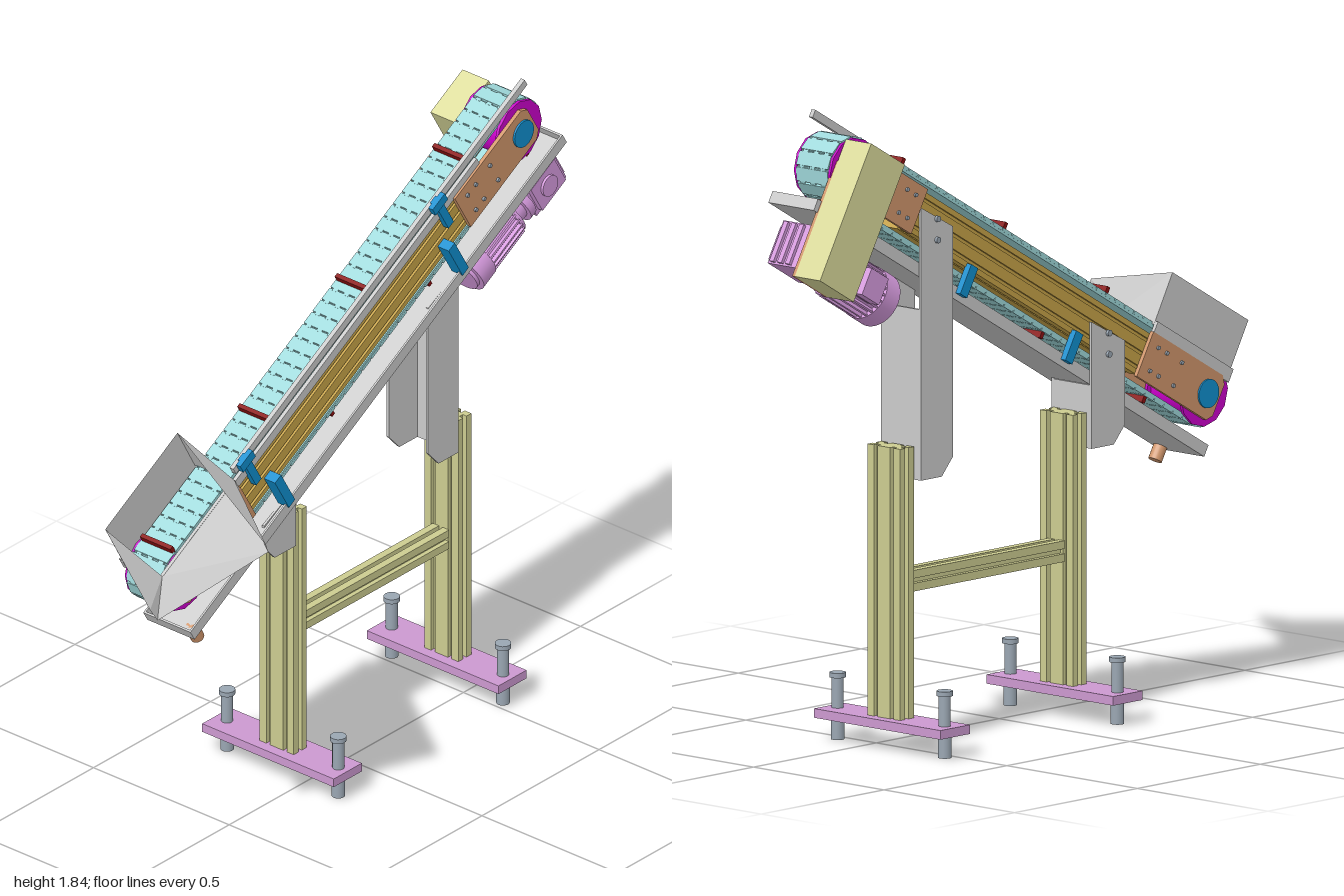
import * as THREE from 'three';

const mats = {};
const mat = (color) => (mats[color] ??= new THREE.MeshStandardMaterial({ color, flatShading: false }));
const GREY = 0xcccccc, TEAL = 0xa0dadc, KHAKI = 0xcccc90, COVER = 0xdcdc9c, GOLD = 0xc8a448, BROWN = 0xd2976c,
  MAGENTA = 0xcc00cc, BLUE = 0x1090d0, PINK = 0xd89ce0, PLATE = 0xcc99d0, STEEL = 0x9aa6b2, RED = 0x8c1010;
const ZC = -0.085; // centre plane of the conveyor

function add(parent, name, geo, color, x = 0, y = 0, z = 0) {
  const m = new THREE.Mesh(geo, mat(color));
  m.name = name;
  m.position.set(x, y, z);
  parent.add(m);
  return m;
}
// box given by its limits on each axis
const box = (p, name, color, [x0, x1], [y0, y1], [z0, z1]) =>
  add(p, name, new THREE.BoxGeometry(x1 - x0, y1 - y0, z1 - z0), color, (x0 + x1) / 2, (y0 + y1) / 2, (z0 + z1) / 2);

// cylinder along the given axis
function cyl(p, name, color, r, len, axis, x, y, z, sides = 32) {
  const g = new THREE.CylinderGeometry(r, r, len, sides);
  if (axis === 'x') g.rotateZ(Math.PI / 2);
  if (axis === 'z') g.rotateX(Math.PI / 2);
  return add(p, name, g, color, x, y, z);
}
const extrude = (shape, depth) => new THREE.ExtrudeGeometry(shape, { depth, bevelEnabled: false, curveSegments: 16 });
const polygon = (pts) => new THREE.Shape(pts.map(([x, y]) => new THREE.Vector2(x, y)));

// slotted aluminium profile, extruded along z; na and nb are slots per side
function slotted(a, b, na, nb, len, slot = 0.014, deep = 0.014) {
  const pts = [];
  const dirs = [[1, 0, a, b, na], [0, 1, b, a, nb], [-1, 0, a, b, na], [0, -1, b, a, nb]];
  for (const [dx, dy, l, w, n] of dirs) {
    const at = (s, d) => pts.push([dx * s + dy * (w / 2 - d), dy * s - dx * (w / 2 - d)]);
    at(-l / 2, 0);
    for (let i = 0; i < n; i++) {
      const c = -l / 2 + (l * (i + 0.5)) / n;
      at(c - slot / 2, 0); at(c - slot / 2, deep); at(c + slot / 2, deep); at(c + slot / 2, 0);
    }
  }
  return extrude(polygon(pts), len);
}

// long loop shape round both rollers
const HALF = 0.824;
function stadium(Type, r) {
  const s = new Type();
  s.moveTo(-HALF, -r);
  s.lineTo(HALF, -r);
  s.absarc(HALF, 0, r, -Math.PI / 2, Math.PI / 2, false);
  s.lineTo(-HALF, r);
  s.absarc(-HALF, 0, r, Math.PI / 2, Math.PI * 1.5, false);
  return s;
}

function buildStand(root) {
  const stand = new THREE.Group();
  stand.name = 'stand';
  root.add(stand);
  for (const x of [-0.173, 0.53]) {
    const leg = slotted(0.056, 0.125, 1, 2, 0.77);
    leg.rotateX(-Math.PI / 2);
    add(stand, 'leg', leg, KHAKI, x, 0.09, -0.083);
    box(stand, 'footPlate', PLATE, [x - 0.06, x + 0.06], [0.064, 0.09], [-0.33, 0.155]);
    for (const z of [0.12, -0.29]) {
      cyl(stand, 'levellingFoot', STEEL, 0.019, 0.06, 'y', x, 0.03, z, 20);
      cyl(stand, 'levellingBolt', STEEL, 0.017, 0.17, 'y', x, 0.1, z, 20);
      cyl(stand, 'boltCap', STEEL, 0.023, 0.014, 'y', x, 0.183, z, 20);
    }
  }
  const beam = slotted(0.06, 0.06, 1, 1, 0.647);
  beam.rotateY(Math.PI / 2);
  add(stand, 'crossBeam', beam, KHAKI, -0.147, 0.47, -0.083);

  // channel brackets joining legs and conveyor: [x0, x1, bottom, front top, back top, web top]
  for (const [x0, x1, y0, yf, yb, yw] of [[-0.335, -0.2, 0.76, 0.88, 1.07, 0.94], [0.365, 0.495, 0.765, 1.28, 1.49, 1.25]]) {
    const flange = (top) => extrude(polygon([[x0, y0 + 0.05], [x0 + 0.045, y0], [x1, y0], [x1, top + 0.07], [x0, top]]), 0.008);
    add(stand, 'bracketFront', flange(yf), GREY, 0, 0, -0.021);
    add(stand, 'bracketBack', flange(yb - 0.02), GREY, 0, 0, -0.166);
    box(stand, 'bracketWeb', GREY, [x1 - 0.008, x1], [y0, yw], [-0.158, -0.014]);
    for (const dy of [0.01, -0.05])
      cyl(stand, 'bracketBolt', STEEL, 0.009, 0.01, 'z', (x0 + x1) / 2, yb + dy, -0.169, 12);
  }
}

function buildBelt(c) {
  const loop = stadium(THREE.Shape, 0.091);
  loop.holes.push(stadium(THREE.Path, 0.08));
  add(c, 'beltCore', extrude(loop, 0.12), TEAL, 0, 0, -0.146);
  // slats placed at equal steps along the loop
  const R = 0.092, straight = 2 * HALF, arc = Math.PI * R, total = 2 * (straight + arc), n = 88;
  const place = (mesh, s, lift) => {
    const back = s >= total / 2, t = back ? s - total / 2 : s, sign = back ? -1 : 1;
    const a = t < straight ? 0 : (t - straight) / R;
    const u = t < straight ? -HALF + t : HALF + Math.sin(a) * (R + lift);
    mesh.position.set(sign * u, sign * Math.cos(a) * (R + lift), ZC - 0.001);
    mesh.rotation.z = -a + (back ? Math.PI : 0);
  };
  const slat = new THREE.BoxGeometry(total / n - 0.004, 0.01, 0.121);
  const knuckle = new THREE.BoxGeometry(0.012, 0.011, 0.018);
  for (let i = 0; i < n; i++) {
    place(add(c, 'beltSlat', slat, TEAL), (i * total) / n, 0);
    for (const dz of [-0.04, 0, 0.04]) {
      const k = add(c, 'hingeKnuckle', knuckle, TEAL);
      place(k, ((i + 0.5) * total) / n, 0);
      k.position.z += dz;
    }
  }
  for (let i = 0; i < 8; i++)
    place(add(c, 'flight', new THREE.BoxGeometry(0.013, 0.024, 0.112), RED), (0.02 + i * 0.48) % total, 0.012);
}

function buildFrame(c) {
  const rail = slotted(0.14, 0.122, 2, 3, 1.075, 0.01, 0.008);
  rail.rotateY(Math.PI / 2);
  add(c, 'frameProfile', rail, GOLD, -0.54, 0, ZC);

  for (const s of [-1, 1]) {
    // rollers, end plates and bearings
    cyl(c, 'roller', MAGENTA, 0.08, 0.12, 'z', s * HALF, 0, ZC);
    for (const [z, zb] of [[-0.02, -0.004], [-0.15, -0.166]]) {
      cyl(c, 'rollerFlange', MAGENTA, 0.096, 0.009, 'z', s * HALF, 0, z, 12);
      const a = s * 0.875, b = s * 0.53, h = 0.068;
      const plate = polygon([[a, -h + 0.02], [a, h - 0.02], [a - s * 0.02, h], [b, h], [b, -h], [a - s * 0.02, -h]]);
      add(c, 'endPlate', extrude(plate, 0.012), BROWN, 0, 0, zb < -0.1 ? -0.168 : -0.015);
      cyl(c, 'bearing', BLUE, 0.041, 0.014, 'z', s * HALF, 0, zb);
      for (const u of [0.57, 0.61, 0.68]) for (const v of [-0.035, 0.035])
        cyl(c, 'plateScrew', STEEL, 0.006, 0.015, 'z', s * u, v, zb, 10);
    }
    // clamps for guide rail and tray
    box(c, 'railClamp', BLUE, [s * 0.474 - 0.013, s * 0.474 + 0.013], [0.02, 0.135], [-0.015, 0.004]);
    box(c, 'railClampHead', BLUE, [s * 0.474 - 0.03, s * 0.474 + 0.03], [0.108, 0.136], [-0.008, 0.008]);
    box(c, 'trayClamp', BLUE, [s * 0.428 - 0.015, s * 0.428 + 0.015], [-0.135, -0.015], [-0.015, 0.025]);
    box(c, 'rearTrayClamp', BLUE, [s * 0.247 - 0.016, s * 0.247 + 0.016], [-0.14, -0.05], [-0.172, -0.152]);
  }
  box(c, 'guideRail', GREY, [-0.517, 0.919], [0.108, 0.131], [-0.024, -0.01]);
  box(c, 'frontSkirt', GREY, [-0.89, 0.66], [0.062, 0.09], [-0.022, -0.01]);

  // drip tray with raised sides
  box(c, 'trayFloor', GREY, [-0.915, 0.92], [-0.157, -0.15], [-0.154, 0.02]);
  for (const z of [-0.154, 0.014]) box(c, 'traySide', GREY, [-0.915, 0.92], [-0.157, -0.122], [z, z + 0.006]);
  for (const u of [-0.915, 0.914]) box(c, 'trayEnd', GREY, [u, u + 0.006], [-0.157, -0.122], [-0.154, 0.02]);
  cyl(c, 'drainPipe', BROWN, 0.02, 0.05, 'y', -0.885, -0.175, -0.01, 20);
}

function buildHopper(c) {
  const A = [-0.89, 0.104, -0.005], B = [-0.535, 0.104, -0.005], C = [-0.89, 0.09, -0.155], D = [-0.535, 0.09, -0.155];
  const lowOut = [-1.063, 0.204, 0.15], highOut = [-0.745, 0.215, 0.325];
  const lowRim = [-1.061, 0.247, 0.14], highRim = [-0.743, 0.247, 0.33];
  const lowBack = [-0.888, 0.247, -0.155], highBack = [-0.532, 0.247, -0.155];
  const quads = [
    [A, B, highOut, lowOut], // sloping floor
    [lowRim, lowOut, A, lowBack], [A, C, lowBack, lowBack], // low wall
    [highRim, highBack, B, highOut], [B, highBack, D, D], // high wall
    [C, D, highBack, lowBack], // back wall
  ];
  const pos = quads.flatMap(([a, b, d, e]) => [a, b, d, a, d, e].flat());
  const g = new THREE.BufferGeometry();
  g.setAttribute('position', new THREE.Float32BufferAttribute(pos, 3));
  g.computeVertexNormals();
  add(c, 'hopper', g, GREY).material = new THREE.MeshStandardMaterial({ color: GREY, side: THREE.DoubleSide });
  box(c, 'hopperSkirt', GREY, [-0.89, -0.535], [0.066, 0.106], [-0.012, -0.002]);
  box(c, 'hopperBackSkirt', GREY, [-0.89, -0.535], [0.06, 0.1], [-0.166, -0.155]);
}

function buildDrive(c) {
  const v = -0.258;
  box(c, 'driveCover', COVER, [0.745, 0.903], [-0.35, 0.067], [-0.255, -0.158]);
  box(c, 'drivePlate', BROWN, [0.745, 0.903], [-0.35, 0], [-0.158, -0.148]);
  // gearbox with ribs and output boss
  box(c, 'gearbox', PINK, [0.75, 0.895], [v - 0.065, v + 0.065], [-0.148, -0.035]);
  box(c, 'gearboxLid', PINK, [0.765, 0.88], [v - 0.05, v + 0.05], [-0.035, -0.018]);
  cyl(c, 'gearboxBoss', PINK, 0.032, 0.012, 'z', 0.822, v, -0.016);
  for (const dz of [-0.03, 0, 0.03]) box(c, 'gearboxRib', PINK, [0.895, 0.905], [v - 0.06, v + 0.06], [ZC + dz - 0.008, ZC + dz + 0.008]);
  // finned motor
  cyl(c, 'motorFlange', PINK, 0.07, 0.025, 'x', 0.738, v, ZC);
  cyl(c, 'motorNeck', PINK, 0.055, 0.05, 'x', 0.705, v, ZC);
  cyl(c, 'motorBody', PINK, 0.066, 0.15, 'x', 0.61, v, ZC);
  cyl(c, 'motorFrontRing', PINK, 0.074, 0.014, 'x', 0.685, v, ZC);
  cyl(c, 'fanCover', PINK, 0.08, 0.06, 'x', 0.508, v, ZC);
  cyl(c, 'fanCoverEnd', PINK, 0.065, 0.012, 'x', 0.473, v, ZC);
  const fin = new THREE.BoxGeometry(0.145, 0.016, 0.006);
  for (let i = 0; i < 24; i++) {
    const a = (i / 24) * Math.PI * 2;
    add(c, 'motorFin', fin, PINK, 0.61, v + Math.cos(a) * 0.07, ZC + Math.sin(a) * 0.07).rotation.x = a;
  }
  box(c, 'terminalBox', PINK, [0.57, 0.65], [v - 0.04, v + 0.04], [-0.185, -0.14]);
}

export function createModel() {
  const root = new THREE.Group();
  root.name = 'inclinedConveyor';
  buildStand(root);
  // conveyor is built level, then tilted
  const conveyor = new THREE.Group();
  conveyor.name = 'conveyor';
  conveyor.position.set(0.043, 1.265, 0);
  conveyor.rotation.z = Math.PI / 6;
  root.add(conveyor);
  for (const build of [buildBelt, buildFrame, buildHopper, buildDrive]) build(conveyor);
  return root;
}
